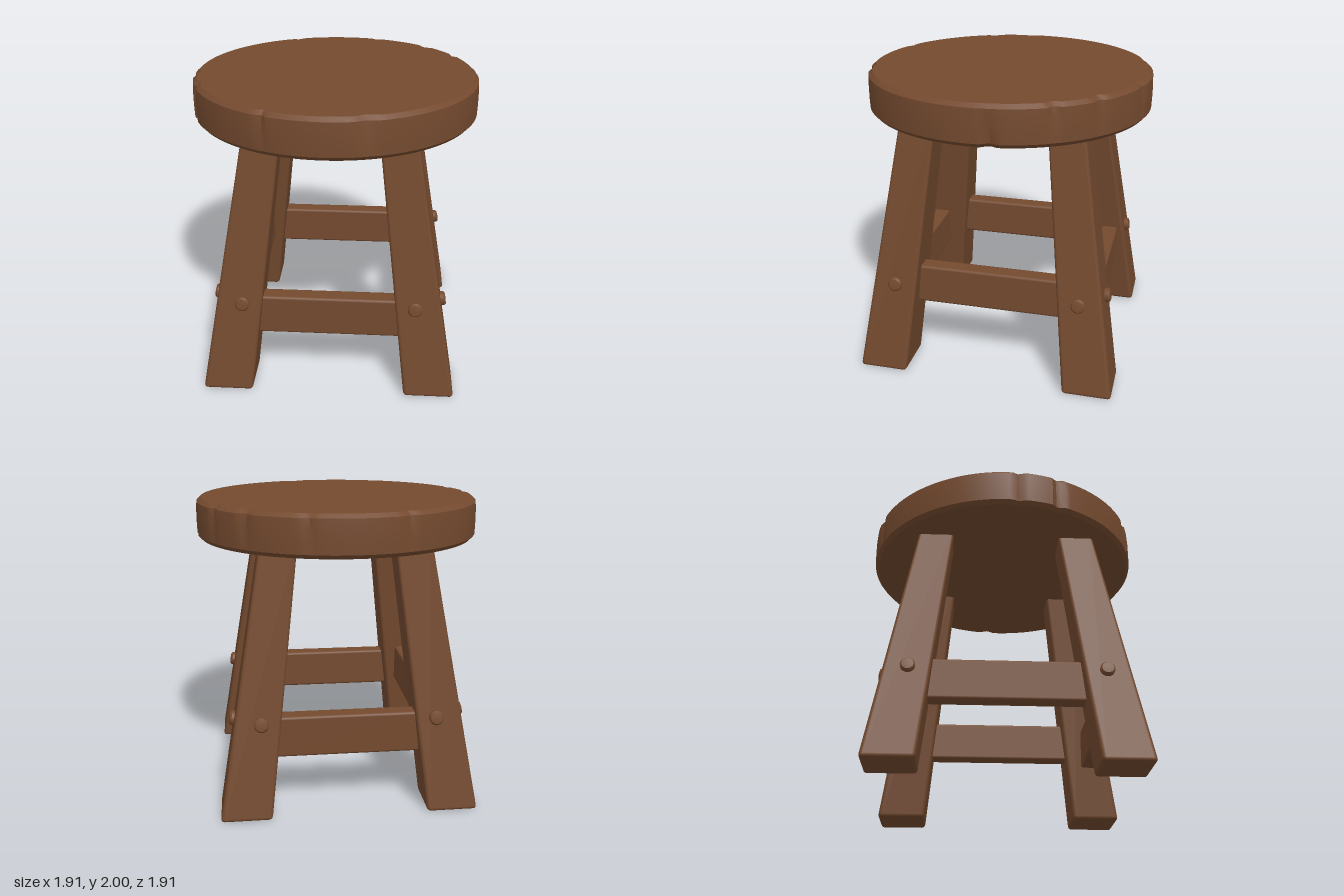
import * as THREE from 'three';
import { toCreasedNormals } from 'three/addons/utils/BufferGeometryUtils.js';
import { RoundedBoxGeometry } from 'three/addons/geometries/RoundedBoxGeometry.js';

const wood = new THREE.MeshStandardMaterial({ color: 0x744a2f });
wood.name = 'brown wood';

function part(name, geometry, parent) {
  const mesh = new THREE.Mesh(geometry, wood);
  mesh.name = name;
  parent.add(mesh);
  return mesh;
}

// Round seat with bevelled rims and small chips knocked out of its edge
function seatGeometry() {
  const profile = [[0, 1.73], [0.86, 1.73], [0.93, 1.73], [0.955, 1.757], [0.957, 1.82], [0.957, 1.91],
    [0.953, 1.975], [0.925, 2], [0.86, 2], [0, 2]].map(([r, y]) => new THREE.Vector2(r, y));
  const geometry = new THREE.LatheGeometry(profile, 180);
  // x, z of each chip, angular half width, depth, and edge (1 top, -1 bottom, 0 full height)
  const chips = [
    [0.27, -0.91, 0.05, 0.025, 1], [0.64, -0.7, 0.06, 0.03, 1], [0.83, -0.46, 0.05, 0.035, 1],
    [0.95, -0.09, 0.06, 0.035, -1], [-0.95, 0.07, 0.05, 0.02, 0], [-0.89, 0.34, 0.04, 0.03, 0],
    [-0.39, 0.86, 0.04, 0.025, 1], [0.24, 0.92, 0.09, 0.025, 1], [-0.35, -0.88, 0.05, 0.025, 1],
  ];
  const p = geometry.attributes.position;
  for (let i = 0; i < p.count; i++) {
    const x = p.getX(i), y = p.getY(i), z = p.getZ(i);
    const r = Math.hypot(x, z);
    if (r < 0.9) continue;
    const t = (y - 1.73) / 0.27;
    let cut = 0;
    for (const [cx, cz, width, depth, edge] of chips) {
      const d = Math.atan2(x * cz - z * cx, x * cx + z * cz);
      const fade = edge === 0 ? 1 : edge > 0 ? t : 1 - t;
      cut = Math.max(cut, depth * fade * Math.max(0, 1 - Math.abs(d) / width));
    }
    const k = (r - cut) / r;
    p.setXYZ(i, x * k, y, z * k);
  }
  geometry.deleteAttribute('uv');
  return toCreasedNormals(geometry, 0.5);
}

// Splayed leg, tapering upwards
const LEG_H = 1.76, SLOPE_X = 0.142, SLOPE_Z = 0.13, FOOT_X = 0.682, FOOT_Z = 0.714;
function legGeometry(sx, sz) {
  const geometry = new RoundedBoxGeometry(0.336, LEG_H, 0.332, 3, 0.025);
  geometry.translate(0, LEG_H / 2, 0);
  const p = geometry.attributes.position;
  for (let i = 0; i < p.count; i++) {
    const k = 1 - 0.28 * p.getY(i) / LEG_H;
    p.setX(i, p.getX(i) * k);
    p.setZ(i, p.getZ(i) * k);
  }
  return geometry.applyMatrix4(new THREE.Matrix4().set(
    1, -sx * SLOPE_X, 0, sx * FOOT_X,
    0, 1, 0, 0,
    0, -sz * SLOPE_Z, 1, sz * FOOT_Z,
    0, 0, 0, 1));
}

// Domed peg head, pointing along +y
function pegGeometry() {
  const points = [[0, -0.03], [0.046, -0.03], [0.048, 0.018], [0.038, 0.03], [0, 0.034]];
  const geometry = new THREE.LatheGeometry(points.map(([r, y]) => new THREE.Vector2(r, y)), 20);
  return toCreasedNormals(geometry, 0.6);
}

export function createModel() {
  const stool = new THREE.Group();
  stool.name = 'stool';
  part('seat', seatGeometry(), stool);

  const peg = pegGeometry();
  const up = new THREE.Vector3(0, 1, 0);
  for (const sx of [-1, 1]) for (const sz of [-1, 1]) {
    const label = (sz > 0 ? 'front' : 'back') + (sx > 0 ? 'Left' : 'Right');
    part(label + 'Leg', legGeometry(sx, sz), stool);

    // Pegs on the two outer faces of the leg
    const endPeg = part(label + 'EndPeg', peg, stool);
    endPeg.position.set(sx * 0.57, 0.635, sz * 0.783);
    endPeg.quaternion.setFromUnitVectors(up, new THREE.Vector3(0, 0.16, sz).normalize());
    const sidePeg = part(label + 'SidePeg', peg, stool);
    sidePeg.position.set(sx * 0.744, 0.63, sz * 0.625);
    sidePeg.quaternion.setFromUnitVectors(up, new THREE.Vector3(sx, 0.17, 0).normalize());
  }

  // Stretcher rails: low pair front and back, higher pair at the sides
  for (const s of [-1, 1]) {
    const cross = part(s > 0 ? 'frontRail' : 'backRail',
      new RoundedBoxGeometry(1.02, 0.278, 0.12, 2, 0.018), stool);
    cross.position.set(0, 0.52, s * 0.675);
    const side = part(s > 0 ? 'leftRail' : 'rightRail',
      new RoundedBoxGeometry(0.12, 0.274, 1.08, 2, 0.018), stool);
    side.position.set(s * 0.585, 0.595, 0);
  }
  return stool;
}
